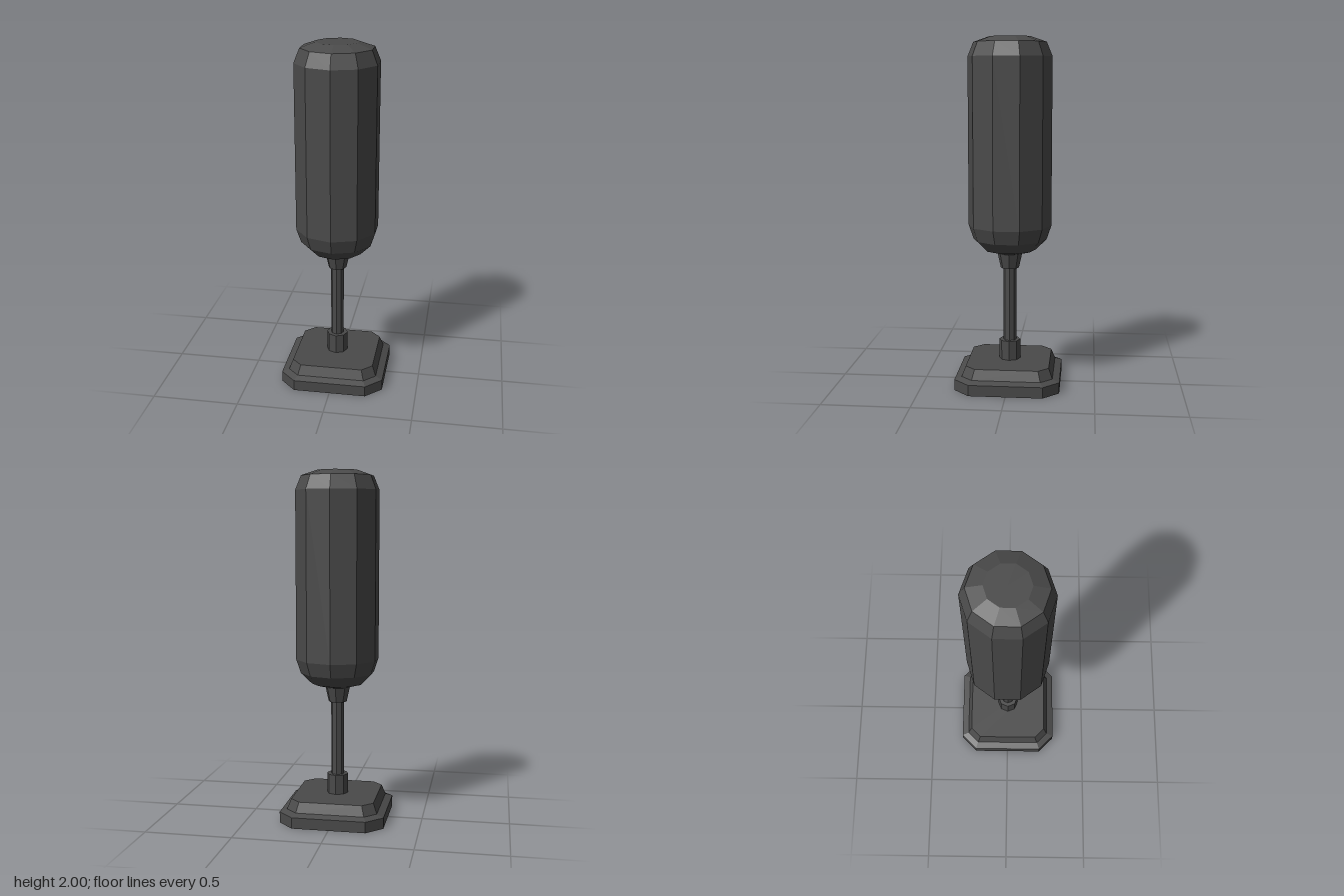
import * as THREE from 'three';

export function createModel() {
  const group = new THREE.Group();
  group.name = 'punchingBagOnStand';
  const darkGrey = new THREE.MeshStandardMaterial({ color: 0x4a4a4a, flatShading: true });
  darkGrey.name = 'darkGrey';

  const add = (name, geometry) => {
    const mesh = new THREE.Mesh(geometry, darkGrey);
    mesh.name = name;
    group.add(mesh);
  };

  // faceted solid of revolution from [radius, height] pairs, bottom to top
  const turned = (profile, sides) =>
    new THREE.LatheGeometry(profile.map(([r, y]) => new THREE.Vector2(r, y)), sides);

  // square block with cut corners, lofted through [height, half width, corner start]
  function cutCornerBlock(levels) {
    const positions = [];
    const index = [];
    for (const [y, h, c] of levels) {
      const ring = [[c, h], [h, c], [h, -c], [c, -h], [-c, -h], [-h, -c], [-h, c], [-c, h]];
      for (const [x, z] of ring) positions.push(x, y, z);
    }
    for (let k = 0; k < levels.length - 1; k++) {
      for (let i = 0; i < 8; i++) {
        const a = k * 8 + i, b = k * 8 + (i + 1) % 8;
        index.push(a, b, b + 8, a, b + 8, a + 8);
      }
    }
    // flat caps
    const top = (levels.length - 1) * 8;
    for (let i = 1; i < 7; i++) {
      index.push(0, i + 1, i);
      index.push(top, top + i, top + i + 1);
    }
    const geometry = new THREE.BufferGeometry();
    geometry.setAttribute('position', new THREE.Float32BufferAttribute(positions, 3));
    geometry.setIndex(index);
    geometry.computeVertexNormals();
    return geometry;
  }

  // stepped foot
  add('base', cutCornerBlock([
    [0, 0.3, 0.21], [0.063, 0.3, 0.21], [0.078, 0.26, 0.195], [0.136, 0.238, 0.18],
  ]));

  // upright: collar, pole and flared neck
  add('collar', turned([[0, 0.13], [0.062, 0.13], [0.062, 0.25], [0, 0.25]], 8));
  add('pole', turned([[0.038, 0.24], [0.038, 0.69]], 8));
  add('neck', turned([[0, 0.68], [0.053, 0.68], [0.074, 0.775], [0, 0.775]], 8));

  // ten-sided bag with rounded ends
  add('bag', turned([
    [0, 0.765], [0.07, 0.767], [0.15, 0.788], [0.213, 0.85], [0.24, 0.93],
    [0.24, 1.89], [0.207, 1.97], [0.12, 2], [0, 2],
  ], 10));

  return group;
}
